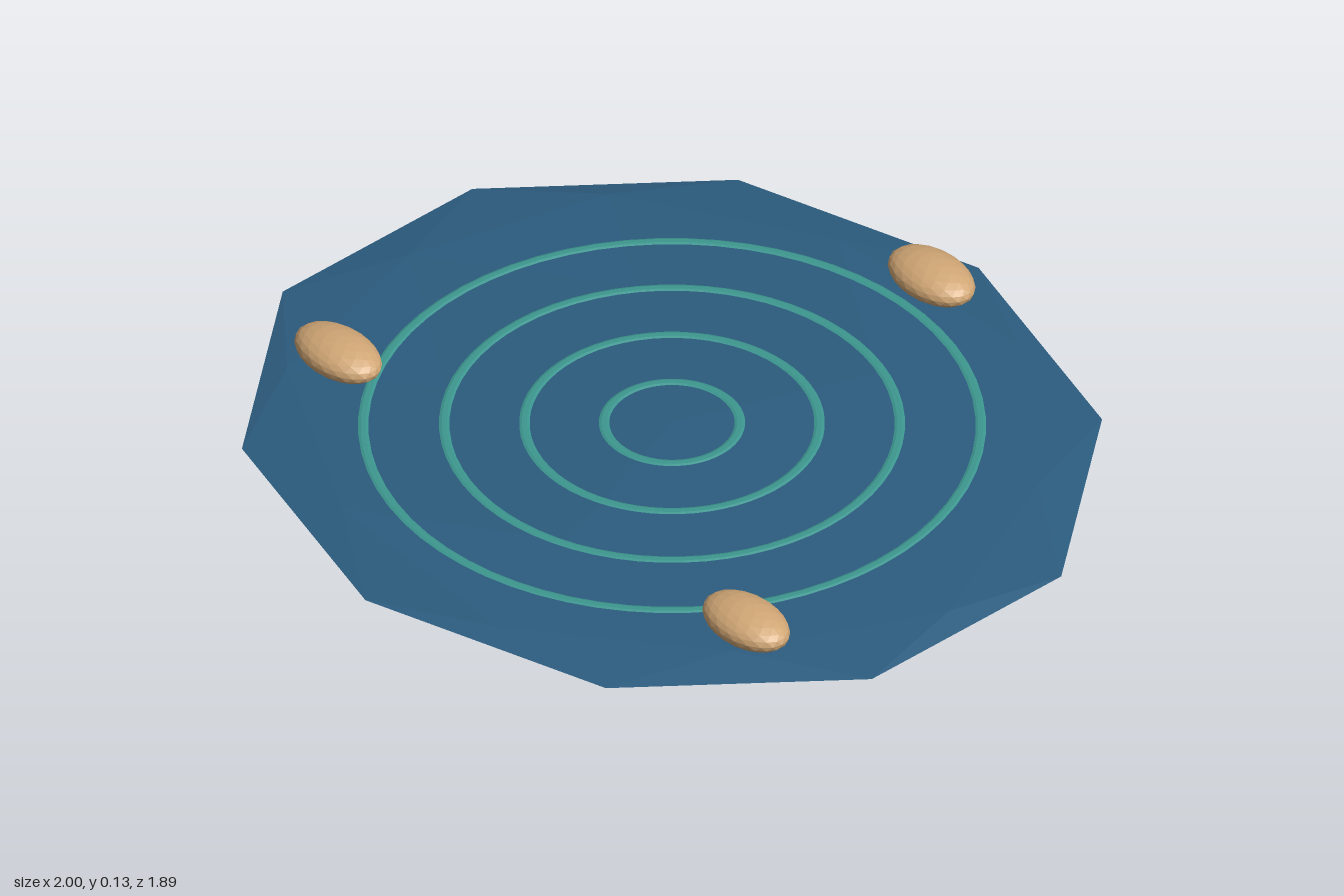
import * as THREE from 'three';

// Faceted ellipsoid with a vertex at each pole and its equator edge points on the z axis
function facetedEllipsoid(rx, ry, rz, detail) {
  const g = new THREE.IcosahedronGeometry(1, detail);
  g.rotateZ(-Math.atan(2 / (1 + Math.sqrt(5))));
  g.scale(rx, ry, rz);
  g.computeVertexNormals(); // unindexed, so the facets stay flat
  return g;
}

export function createModel() {
  const model = new THREE.Group();
  const mat = (name, color) => {
    const m = new THREE.MeshStandardMaterial({ color, flatShading: true });
    m.name = name;
    return m;
  };
  const water = mat('deep blue water', 0x2c5c7f);
  const foam = mat('teal ripple', 0x3c978f);
  const stone = mat('sandy stone', 0xd0a675);
  const add = (name, geometry, material, x, y, z) => {
    const mesh = new THREE.Mesh(geometry, material);
    mesh.name = name;
    mesh.position.set(x, y, z);
    model.add(mesh);
  };

  // Flat ten-sided pool
  add('pool', facetedEllipsoid(1.0515, 0.034, 0.945, 1), water, 0, 0.034, 0);

  // Concentric flattened ripples resting on the pool: [radius, height]
  [[0.155, 0.067], [0.337, 0.0655], [0.52, 0.0635], [0.705, 0.058]].forEach(([r, y], i) => {
    const ring = new THREE.TorusGeometry(r, 0.012, 6, 64);
    ring.rotateX(Math.PI / 2);
    ring.scale(1, 0.2, 1);
    add('ripple' + (i + 1), ring, foam, 0, y, 0);
  });

  // Three stones spaced evenly around the rim
  const pebble = facetedEllipsoid(0.123, 0.046, 0.077, 3);
  for (let i = 0; i < 3; i++) {
    const a = Math.PI / 6 + (i * 2 * Math.PI) / 3;
    add('stone' + (i + 1), pebble, stone, 0.8 * Math.cos(a), 0.084, 0.8 * Math.sin(a));
  }
  return model;
}
